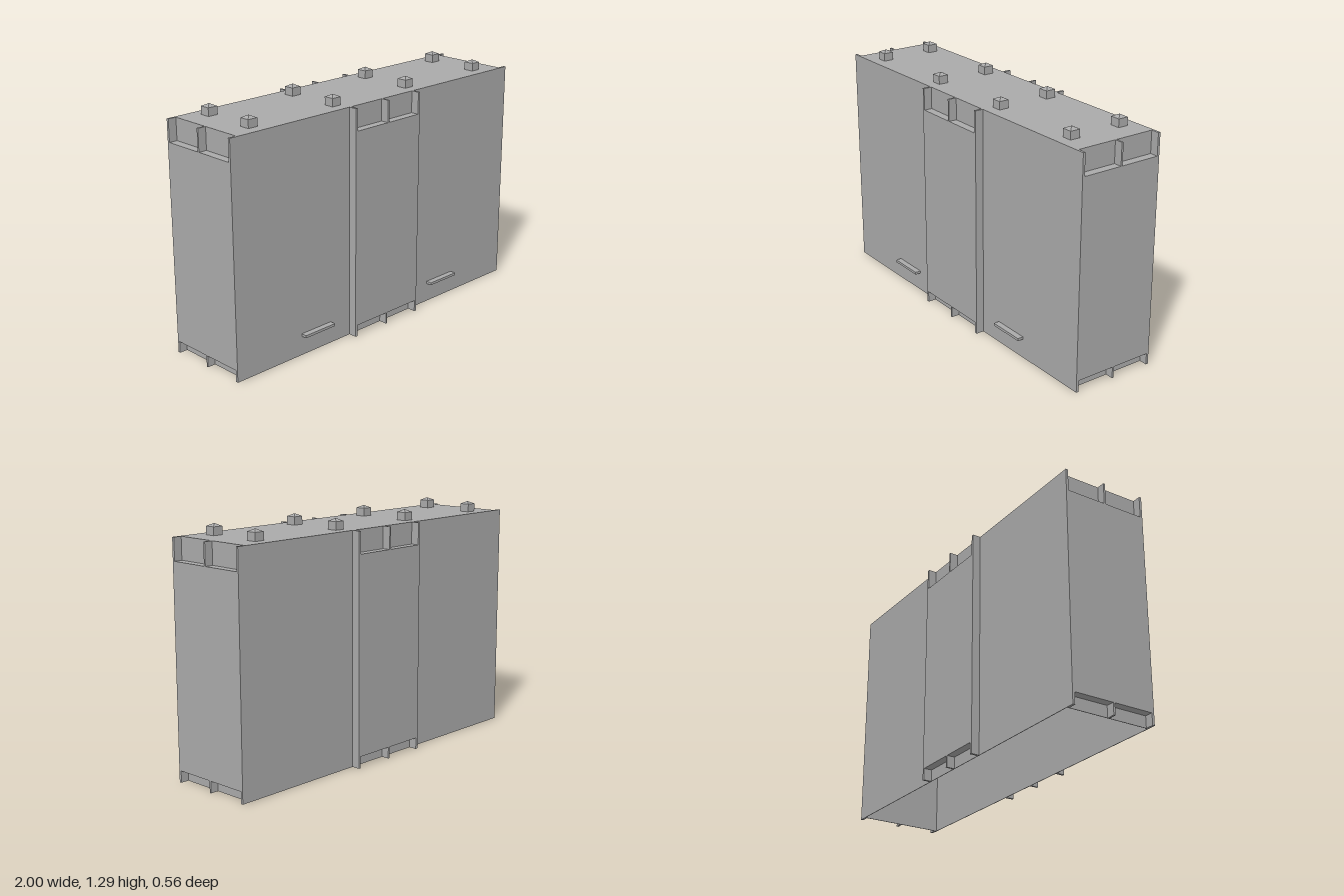
import * as THREE from 'three';

const BODY_X = 0.955, BODY_Z = 0.235, HEIGHT = 1.237, DEPTH = 0.045;

export function createModel() {
  const model = new THREE.Group();
  model.name = 'cabinet';
  const grey = new THREE.MeshStandardMaterial({ color: 0xaaaaaa });
  grey.name = 'plain grey';

  function add(name, geometry, x, y, z, parent = model) {
    const mesh = new THREE.Mesh(geometry, grey);
    mesh.name = name;
    mesh.position.set(x, y, z);
    parent.add(mesh);
    return mesh;
  }
  const box = (name, w, h, d, x, y, z) => add(name, new THREE.BoxGeometry(w, h, d), x, y, z);

  // Hollow shell with thin walls, open underneath
  const t = 0.003;
  box('topPanel', BODY_X * 2, t, BODY_Z * 2, 0, HEIGHT - t / 2, 0);
  for (const s of [-1, 1]) {
    const h = HEIGHT - t;
    box(s > 0 ? 'frontWall' : 'backWall', BODY_X * 2, h, t, 0, h / 2, s * (BODY_Z - t / 2));
    box(s > 0 ? 'leftWall' : 'rightWall', t, h, (BODY_Z - t) * 2, s * (BODY_X - t / 2), h / 2, 0);
  }

  // Raised panel with two notches at the top and two at the bottom, leaving three ribs
  const outer = 0.235, inner = 0.222, mid = 0.005, low = 0.062, high = 1.12;
  const outline = [
    [-outer, 0], [-inner, 0], [-inner, low], [-mid, low], [-mid, 0],
    [mid, 0], [mid, low], [inner, low], [inner, 0], [outer, 0],
    [outer, HEIGHT], [inner, HEIGHT], [inner, high], [mid, high], [mid, HEIGHT],
    [-mid, HEIGHT], [-mid, high], [-inner, high], [-inner, HEIGHT], [-outer, HEIGHT],
  ].map(([x, y]) => new THREE.Vector2(x, y));
  const panel = new THREE.ExtrudeGeometry(new THREE.Shape(outline), { depth: DEPTH, bevelEnabled: false });
  ['frontPanel', 'leftPanel', 'backPanel', 'rightPanel'].forEach((name, i) => {
    const angle = i * Math.PI / 2;
    const offset = i % 2 ? BODY_X : BODY_Z;
    const mesh = add(name, panel, Math.sin(angle) * offset, 0, Math.cos(angle) * offset);
    mesh.rotation.y = angle;
  });

  // Square pegs with shallow pyramid caps
  const side = 0.056, pegHeight = 0.043, capHeight = 0.014;
  const pegBase = new THREE.BoxGeometry(side, pegHeight, side);
  const pegCap = new THREE.ConeGeometry(side / Math.SQRT2, capHeight, 4, 1, true).rotateY(Math.PI / 4).toNonIndexed();
  pegCap.computeVertexNormals();
  for (const x of [-0.81, -0.265, 0.265, 0.81]) {
    for (const z of [-0.147, 0.147]) {
      const peg = new THREE.Group();
      peg.name = 'topPeg';
      peg.position.set(x, HEIGHT, z);
      add('pegBase', pegBase, 0, pegHeight / 2, 0, peg);
      add('pegCap', pegCap, 0, pegHeight + capHeight / 2, 0, peg);
      model.add(peg);
    }
  }

  // Bar handles on the front
  for (const s of [-1, 1]) {
    box(s > 0 ? 'leftHandle' : 'rightHandle', 0.204, 0.014, 0.032, s * 0.474, 0.111, BODY_Z + 0.016);
  }

  return model;
}
